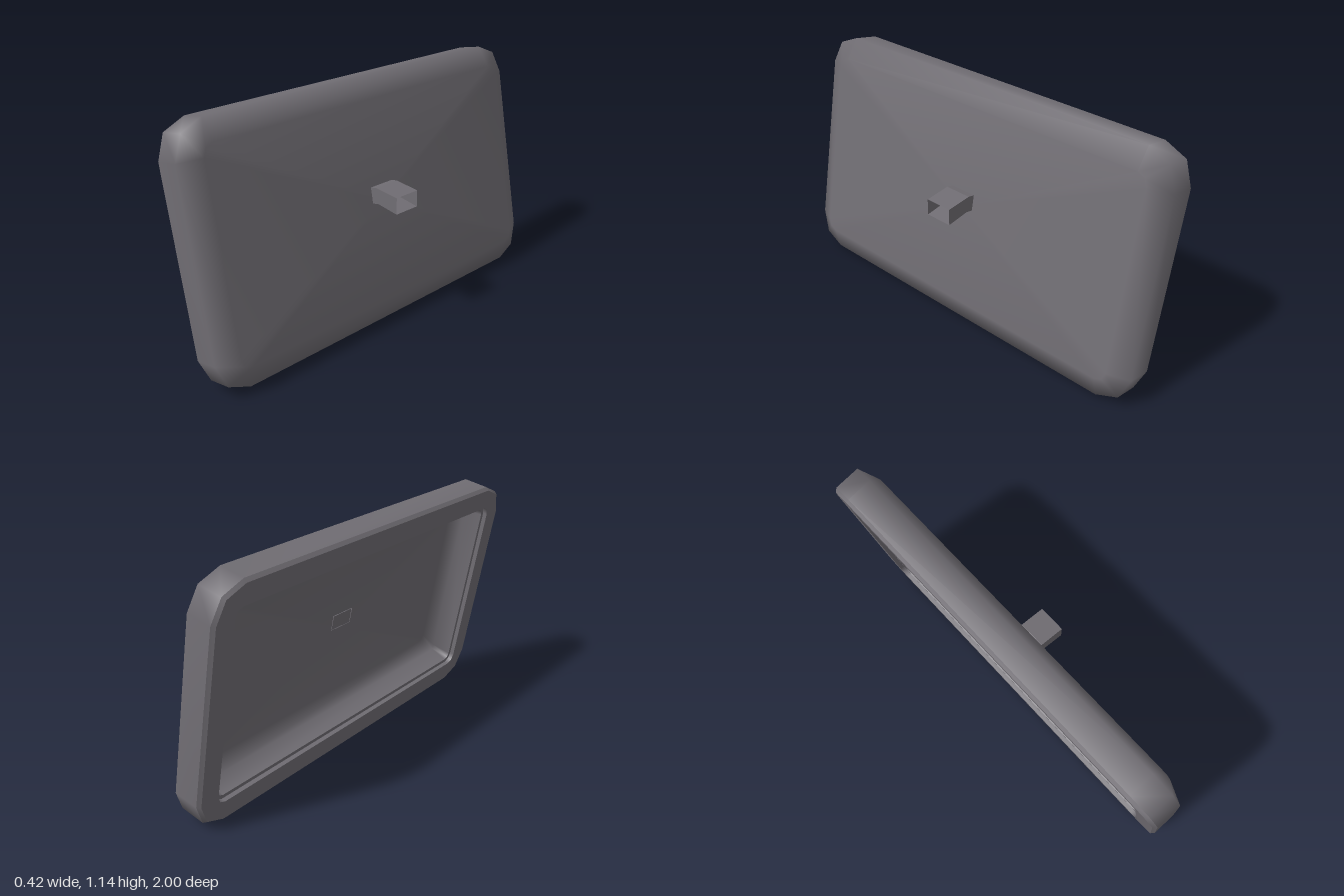
import * as THREE from 'three';

const HALF_W = 1, HEIGHT = 1.136, RADIUS = 0.15, SEG = 2, TILT = 0.184;

// Rounded rectangle in the yz plane at depth x, shrunk by inset
function ring(x, inset) {
  const r = Math.max(RADIUS - inset, 0.03);
  const hz = HALF_W - inset - r, hy = HEIGHT / 2 - inset - r;
  const pts = [];
  [[1, 1], [-1, 1], [-1, -1], [1, -1]].forEach(([sz, sy], q) => {
    for (let i = 0; i <= SEG; i++) {
      const t = (q + i / SEG) * Math.PI / 2;
      pts.push([x, HEIGHT / 2 + sy * hy + r * Math.sin(t), sz * hz + r * Math.cos(t)]);
    }
  });
  return pts;
}

// Joins rings of equal length into a smooth skin, with optional flat ends
function loft(rings, capStart = false, capEnd = false) {
  const n = rings[0].length, pos = rings.flat(2), idx = [];
  for (let k = 0; k < rings.length - 1; k++) {
    for (let i = 0; i < n; i++) {
      const a = k * n + i, b = k * n + (i + 1) % n;
      idx.push(a, a + n, b, b, a + n, b + n);
    }
  }
  const cap = (k, flip) => {
    const c = pos.length / 3;
    pos.push(rings[k][0][0], HEIGHT / 2, 0);
    for (let i = 0; i < n; i++) {
      const a = k * n + i, b = k * n + (i + 1) % n;
      if (flip) idx.push(c, b, a); else idx.push(c, a, b);
    }
  };
  if (capStart) cap(0, false);
  if (capEnd) cap(rings.length - 1, true);
  const g = new THREE.BufferGeometry();
  g.setAttribute('position', new THREE.Float32BufferAttribute(pos, 3));
  g.setIndex(idx);
  g.computeVertexNormals();
  return g;
}

export function createModel() {
  const model = new THREE.Group();
  const grey = new THREE.MeshStandardMaterial({ color: 0x706d73, side: THREE.DoubleSide });
  grey.name = 'grey plastic';
  const add = (parent, name, geometry) => {
    const mesh = new THREE.Mesh(geometry, grey);
    mesh.name = name;
    parent.add(mesh);
  };

  // Tilted housing, open towards -x
  const housing = new THREE.Group();
  housing.name = 'housing';
  housing.rotation.z = TILT;
  model.add(housing);
  const skin = (name, profile, capStart, capEnd) =>
    add(housing, name, loft(profile.map(([x, inset]) => ring(x, inset)), capStart, capEnd));

  skin('innerTray', [[0.152, 0.2], [0.11, 0.135], [0.012, 0.125]], true, false);
  skin('innerLedge', [[0.012, 0.125], [0.012, 0.107]]);
  skin('innerLip', [[0.012, 0.107], [-0.009, 0.107]]);
  skin('frontRim', [[-0.009, 0.107], [-0.009, 0.013]]);
  skin('rimChamfer', [[-0.009, 0.013], [0.007, 0]]);
  skin('outerShell', [[0.007, 0], [0.128, 0], [0.172, 0.1]], false, true);

  // Hollow bent mounting post: top x, top y, bottom x, bottom y
  const sections = [
    [-0.035, 0.649, -0.02, 0.576], [0.085, 0.672, 0.1, 0.598], [0.21, 0.658, 0.21, 0.58],
  ].map(([tx, ty, bx, by]) => {
    const w = 0.067;
    return [[tx, ty, w], [tx, ty, -w], [bx, by, -w], [bx, by, w]];
  });
  // Start just inside the tray floor so that a thin outline shows there
  sections[0] = sections[0].map(([x, y, z]) => [x + 0.063, y + 0.012, z]);
  const post = loft(sections).toNonIndexed();
  post.computeVertexNormals();
  add(model, 'mountingPost', post);

  return model;
}
